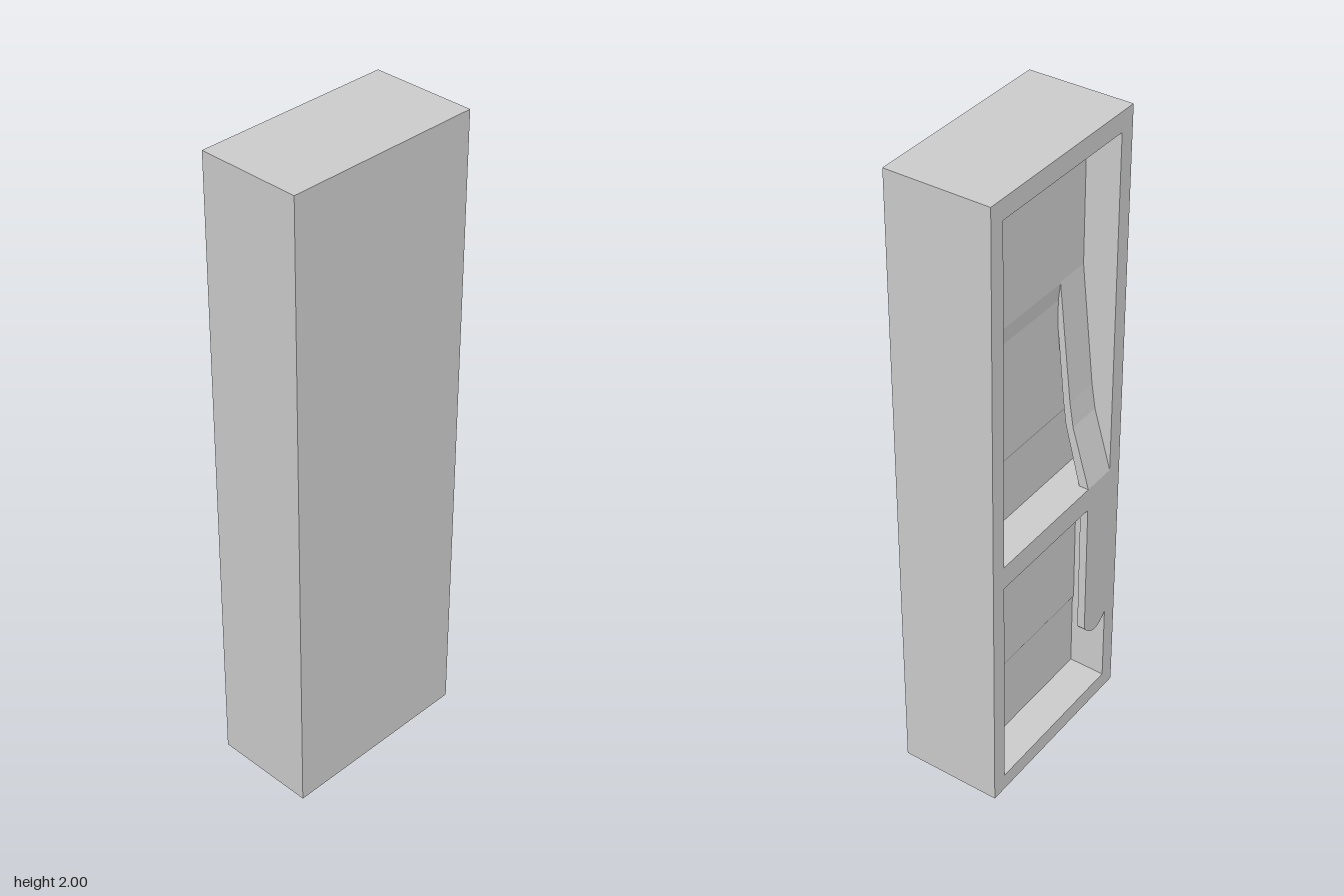
import * as THREE from 'three';

const W = 0.31, H = 2, D = 0.16;          // half width, height, half depth
const IN = 0.26;                          // half width of the recesses
const TAB = -0.15;                        // inner edge of the chute and tongue

export function createModel() {
  const group = new THREE.Group();
  const material = new THREE.MeshStandardMaterial({ color: 0xcccccc, flatShading: true });

  const add = (name, geometry) => {
    const mesh = new THREE.Mesh(geometry, material);
    mesh.name = name;
    group.add(mesh);
  };
  const polygon = (points) => new THREE.Shape(points.map(([x, y]) => new THREE.Vector2(x, y)));
  const rect = (x0, y0, x1, y1) => polygon([[x0, y0], [x1, y0], [x1, y1], [x0, y1]]);
  // Extrude an outline drawn in x, y from z0 to z1
  const alongZ = (shape, z0, z1) =>
    new THREE.ExtrudeGeometry(shape, { depth: z1 - z0, bevelEnabled: false, curveSegments: 12 }).translate(0, 0, z0);
  // Extrude a side profile given as [depth below the back, y] from x0 to x1
  const alongX = (profile, x0, x1) =>
    new THREE.ExtrudeGeometry(polygon(profile.map(([d, y]) => [d - D, y])), { depth: x1 - x0, bevelEnabled: false })
      .rotateY(-Math.PI / 2).translate(x1, 0, 0);

  // Outer frame with an upper and a lower opening
  const outline = rect(-W, 0, W, H);
  outline.holes.push(rect(-IN, 0.855, IN, 1.94), rect(-IN, 0.055, IN, 0.78));
  add('frame', alongZ(outline, -D, D));

  // Front panel, whose rear side forms the slightly stepped recess floors
  add('frontPanel', alongX([
    [2 * D, 0.055], [2 * D, 1.94], [0.106, 1.94], [0.106, 1.505], [0.112, 1.45],
    [0.112, 1.07], [0.116, 1.06], [0.116, 0.82], [0.112, 0.81], [0.112, 0.32],
    [0.116, 0.31], [0.116, 0.055],
  ], -IN, IN));

  // Thin bent chute rising from the upper floor to the crossbar
  add('chute', alongX([
    [0.106, 1.51], [0.068, 1.13], [0.056, 1.05], [0, 0.855], [0, 0.83],
    [0.025, 0.83], [0.08, 1.05], [0.09, 1.13], [0.125, 1.51],
  ], -IN, TAB));

  // Thin tongue hanging over the lower recess, with a rounded end
  const tongue = new THREE.Shape();
  tongue.moveTo(-IN, 0.78);
  tongue.lineTo(-IN, 0.315);
  tongue.quadraticCurveTo(-0.205, 0.25, TAB, 0.325);
  tongue.lineTo(TAB, 0.78);
  add('tongue', alongZ(tongue, -D, -D + 0.025));

  return group;
}
